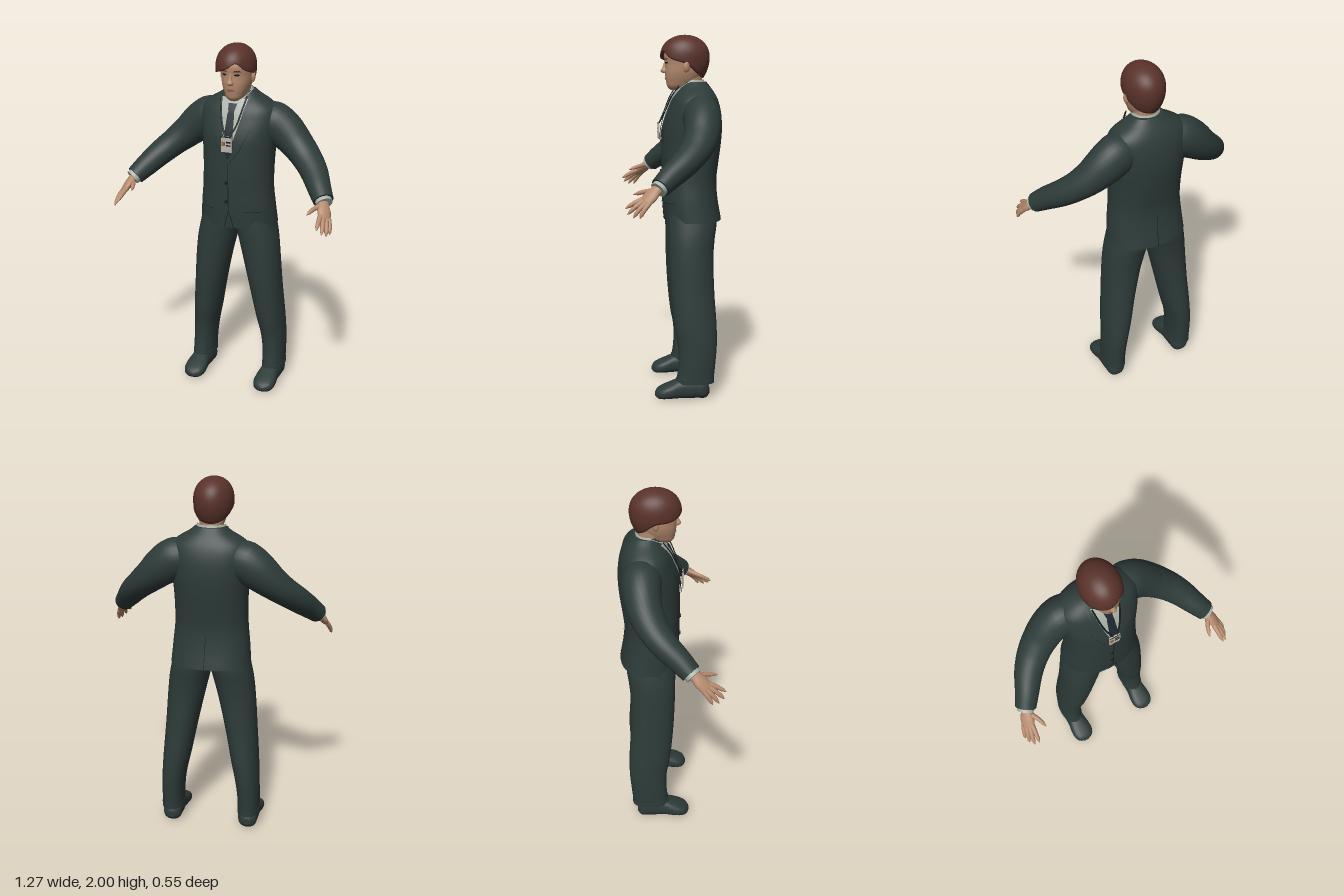
import * as THREE from 'three';

const mat = (name, color) => Object.assign(new THREE.MeshStandardMaterial({ color }), { name });
const V = (x, y, z) => new THREE.Vector3(x, y, z);

// Smooth interpolation of rows keyed on their ascending first column
function profile(rows) {
  const size = rows[0].length - 1;
  const spline = new THREE.CubicInterpolant(rows.map(r => r[0]), rows.flatMap(r => r.slice(1)), size);
  return { from: rows[0][0], to: rows[rows.length - 1][0], at: t => Array.from(spline.evaluate(t)) };
}

// Skin over closed rings, with separate end caps
function loft(rings) {
  const n = rings[0].length, pos = [], idx = [];
  rings.forEach(r => r.forEach(p => pos.push(p.x, p.y, p.z)));
  for (let i = 0; i < rings.length - 1; i++) {
    for (let j = 0; j < n; j++) {
      const k = (j + 1) % n, a = i * n + j, b = i * n + k;
      idx.push(a, a + n, b, b, a + n, b + n);
    }
  }
  [rings[0], rings[rings.length - 1]].forEach((ring, end) => {
    const base = pos.length / 3, c = V(0, 0, 0);
    ring.forEach(p => { pos.push(p.x, p.y, p.z); c.addScaledVector(p, 1 / n); });
    pos.push(c.x, c.y, c.z);
    for (let j = 0; j < n; j++) {
      const a = base + j, b = base + (j + 1) % n;
      idx.push(base + n, end ? b : a, end ? a : b);
    }
  });
  return build(pos, idx);
}

function build(pos, idx) {
  const g = new THREE.BufferGeometry();
  g.setAttribute('position', new THREE.Float32BufferAttribute(pos, 3));
  g.setIndex(idx);
  g.computeVertexNormals();
  return g;
}

// Rounded-box ring: f(cos, sin) places each point
function ring(n, power, f) {
  return Array.from({ length: n }, (_, j) => {
    const a = j / n * Math.PI * 2, c = Math.cos(a), s = Math.sin(a);
    const q = v => Math.sign(v) * Math.abs(v) ** (2 / power);
    return f(q(c), q(s));
  });
}

// Upright body from rows [y, xMin, xMax, zFront, zBack]
function column(p, steps, power = 2.3, n = 40) {
  return loft(Array.from({ length: steps + 1 }, (_, i) => {
    const y = p.from + (p.to - p.from) * i / steps, [x0, x1, zf, zb] = p.at(y);
    return ring(n, power, (c, s) => V((x0 + x1) / 2 + c * (x1 - x0) / 2, y, (zf + zb) / 2 + s * (zf - zb) / 2));
  }));
}

// Tapered limb along a curve, radii [a along ref, b across]
function sweep(pts, radii, ref, steps = 24, n = 20) {
  const curve = new THREE.CatmullRomCurve3(pts.map(p => V(...p)));
  return loft(Array.from({ length: steps + 1 }, (_, i) => {
    const t = i / steps, u = t * (radii.length - 1), k = Math.min(Math.floor(u), radii.length - 2);
    const [a, b] = [0, 1].map(m => THREE.MathUtils.lerp(radii[k][m], radii[k + 1][m], u - k));
    const c = curve.getPoint(t), T = curve.getTangent(t);
    const N = ref.clone().addScaledVector(T, -ref.dot(T)).normalize(), B = N.clone().cross(T);
    return ring(n, 2, (x, y) => c.clone().addScaledVector(N, x * a).addScaledVector(B, y * b));
  }));
}

// Depth of a column's front (side 1) or back (side -1) at x, y
function depth(p, x, y, side = 1, power = 2.3) {
  const [x0, x1, zf, zb] = p.at(y), u = Math.min(1, Math.abs((x - (x0 + x1) / 2) / ((x1 - x0) / 2)));
  return (zf + zb) / 2 + side * (zf - zb) / 2 * (1 - u ** power) ** (1 / power);
}

// Thin panel hugging a column, rows [y, xLeft, xRight] ascending
function patch(p, rows, off, side = 1, cols = 6, sub = 5) {
  const pos = [], idx = [], total = (rows.length - 1) * sub;
  for (let i = 0; i <= total; i++) {
    const k = Math.min(Math.floor(i / sub), rows.length - 2), t = i / sub - k;
    const [y, l, r] = rows[k].map((v, m) => v + (rows[k + 1][m] - v) * t);
    for (let j = 0; j <= cols; j++) {
      const x = l + (r - l) * j / cols;
      pos.push(x, y, depth(p, x, y, side) + off * side);
      if (i < total && j < cols) {
        const a = i * (cols + 1) + j, b = a + cols + 1;
        idx.push(...(side > 0 ? [a, a + 1, b + 1, a, b + 1, b] : [a, b + 1, a + 1, a, b, b + 1]));
      }
    }
  }
  return build(pos, idx);
}

function mirrored(geo) {
  const g = geo.clone().scale(-1, 1, 1), ix = g.index.array;
  for (let i = 0; i < ix.length; i += 3) [ix[i], ix[i + 1]] = [ix[i + 1], ix[i]];
  g.computeVertexNormals();
  return g;
}

export function createModel() {
  const suit = mat('suit cloth', 0x2d3b39), seam = mat('dark trim', 0x151b1c), shirt = mat('shirt', 0xaab3a9);
  const tieMat = mat('tie', 0x1d2930), skin = mat('skin', 0xb58a6d), lip = mat('lips', 0x94654f);
  const hairMat = mat('hair', 0x59322a), card = mat('card', 0xb9b4aa);
  const root = new THREE.Group();
  const add = (name, geo, m) => {
    const mesh = new THREE.Mesh(geo, m);
    mesh.name = name;
    root.add(mesh);
    return mesh;
  };
  const pair = (name, geo, m) => { add(name + 'Left', geo, m); add(name + 'Right', mirrored(geo), m); };

  // Jacket body
  const torso = profile([
    [0.985, 0.222, 0.05, -0.272], [1.1, 0.212, 0.058, -0.252], [1.2, 0.202, 0.06, -0.245],
    [1.3, 0.2, 0.062, -0.255], [1.4, 0.203, 0.06, -0.268], [1.5, 0.213, 0.052, -0.274],
    [1.6, 0.222, 0.022, -0.264], [1.66, 0.205, -0.002, -0.245], [1.695, 0.16, -0.026, -0.225],
    [1.72, 0.115, -0.043, -0.207], [1.745, 0.085, -0.058, -0.188],
  ].map(([y, w, f, b]) => [y, -w, w, f, b]));
  add('jacket', column(torso, 48), suit);
  pair('lapel', patch(torso, [[1.37, 0, 0.006], [1.43, 0.008, 0.055], [1.56, 0.045, 0.115],
    [1.62, 0.06, 0.11], [1.72, 0.08, 0.1]], 0.009), suit);
  pair('lapelEdge', patch(torso, [[1.37, 0.006, 0.009], [1.43, 0.055, 0.058], [1.56, 0.115, 0.118]], 0.006, 1, 1), seam);
  add('frontSeam', patch(torso, [[1.09, -0.003, 0.001], [1.37, -0.003, 0.001]], 0.003, 1, 1), seam);
  pair('frontCutaway', patch(torso, [[0.987, 0.026, 0.03], [1.09, -0.002, 0.002]], 0.003, 1, 1), seam);
  pair('pocketFlap', patch(torso, [[1.09, 0.09, 0.18], [1.125, 0.085, 0.175]], 0.007), suit);
  pair('pocketLine', patch(torso, [[1.086, 0.09, 0.18], [1.09, 0.09, 0.18]], 0.005, 1, 6, 1), seam);
  add('backVent', patch(torso, [[0.987, 0.006, 0.01], [1.17, 0.0, 0.003]], 0.003, -1, 1), seam);
  for (const y of [1.14, 1.25]) {
    const b = add('button', new THREE.CylinderGeometry(0.009, 0.009, 0.006, 14), seam);
    b.rotation.x = Math.PI / 2;
    b.position.set(-0.012, y, depth(torso, 0, y) + 0.003);
  }

  // Shirt front, collar and tie
  add('shirtFront', patch(torso, [[1.4, -0.006, 0.006], [1.56, -0.045, 0.045], [1.71, -0.085, 0.085]], 0.005), shirt);
  add('shirtCollar', loft([[1.63, 0.09, 0.085, 0], [1.7, 0.084, 0.08, 0.02], [1.757, 0.078, 0.074, 0.05], [1.75, 0.066, 0.062, 0.05]]
    .map(([y, rx, rz, dip]) => ring(36, 2, (c, s) => V(c * rx, y - dip * Math.max(0, s), -0.1 + s * rz)))), shirt);
  add('tie', patch(torso, [[1.39, -0.006, 0.006], [1.45, -0.028, 0.028], [1.63, -0.02, 0.02],
    [1.645, -0.017, 0.017], [1.685, -0.026, 0.026]], 0.013), tieMat);

  // Lanyard and card
  pair('lanyard', sweep([[0.074, 1.725, -0.03], [0.062, 1.66, 0.012], [0.042, 1.58, 0.045], [0.012, 1.515, 0.076]],
    [[0.005, 0.003], [0.005, 0.003]], V(1, 0, 0), 16, 8), seam);
  const badge = [[0.062, 0.088, 0.008, 0, 0, card, 'badge'], [0.026, 0.009, 0.002, 0.012, 0.012, seam, 'badgeLine'],
    [0.026, 0.007, 0.002, 0.012, -0.006, seam, 'badgeLine'], [0.018, 0.024, 0.002, -0.017, 0.002, lip, 'badgePhoto'],
    [0.062, 0.006, 0.002, 0, 0.041, seam, 'badgeClip']];
  for (const [w, h, d, x, y, m, name] of badge) {
    add(name, new THREE.BoxGeometry(w, h, d), m).position.set(x - 0.004, 1.476 + y, 0.076 + (d < 0.005 ? 0.0045 : 0));
  }

  // Sleeves and cuffs
  const up = V(0, 1, 0);
  pair('sleeve', sweep([[0.11, 1.575, -0.13], [0.19, 1.565, -0.145], [0.26, 1.52, -0.145], [0.33, 1.46, -0.128],
    [0.4, 1.4, -0.09], [0.46, 1.345, -0.035], [0.515, 1.285, 0.04], [0.557, 1.237, 0.095]],
  [[0.1, 0.095], [0.115, 0.105], [0.107, 0.1], [0.09, 0.093], [0.077, 0.085], [0.071, 0.076], [0.063, 0.064], [0.053, 0.056]],
  up, 40, 28), suit);
  pair('shirtCuff', sweep([[0.545, 1.25, 0.08], [0.568, 1.226, 0.109]], [[0.043, 0.045], [0.043, 0.045]], up, 4), shirt);

  // Hands
  const across = V(-0.045, 0.025, 0.035);
  pair('palm', sweep([[0.548, 1.246, 0.083], [0.565, 1.222, 0.118], [0.578, 1.196, 0.145], [0.59, 1.168, 0.174], [0.594, 1.158, 0.183]],
    [[0.03, 0.026], [0.032, 0.023], [0.04, 0.022], [0.037, 0.017], [0.025, 0.01]], across), skin);
  const fingers = {
    thumb: [[0.56, 1.222, 0.125], [0.53, 1.212, 0.175], [0.51, 1.195, 0.232]],
    indexFinger: [[0.57, 1.183, 0.182], [0.574, 1.162, 0.228], [0.578, 1.135, 0.274]],
    middleFinger: [[0.583, 1.175, 0.178], [0.596, 1.145, 0.224], [0.603, 1.108, 0.264]],
    ringFinger: [[0.597, 1.167, 0.168], [0.612, 1.134, 0.205], [0.62, 1.093, 0.236]],
    littleFinger: [[0.607, 1.163, 0.156], [0.622, 1.13, 0.182], [0.63, 1.092, 0.203]],
  };
  for (const [name, pts] of Object.entries(fingers)) {
    pair(name, sweep(pts, [0.014, 0.0135, 0.0125, 0.0115, 0.01, 0.002].map(r => [r, r]), across, 15, 12), skin);
  }

  // Trouser legs with hem
  const leg = profile([
    [0.095, 0.162, 0.284, -0.008, -0.216], [0.2, 0.158, 0.284, -0.02, -0.226], [0.3, 0.145, 0.281, -0.018, -0.234],
    [0.4, 0.123, 0.276, 0, -0.234], [0.6, 0.083, 0.261, 0.021, -0.222], [0.8, 0.038, 0.247, 0.031, -0.219],
    [0.9, 0.013, 0.236, 0.033, -0.228], [0.97, -0.004, 0.222, 0.034, -0.238], [1.08, -0.02, 0.195, 0.03, -0.225],
  ]);
  pair('trouserLeg', column(leg, 44, 2.2), suit);
  pair('trouserHem', column(profile([[0.09, 0.159, 0.287, -0.005, -0.219], [0.115, 0.159, 0.287, -0.006, -0.22]]), 2, 2.2), suit);

  // Shoes, rows [z, half width, bottom, top]
  const shoe = profile([[-0.192, 0.02, 0.025, 0.06], [-0.18, 0.042, 0.008, 0.095], [-0.12, 0.055, 0.002, 0.115],
    [-0.03, 0.056, 0.002, 0.112], [0.03, 0.064, 0.001, 0.088], [0.075, 0.059, 0.001, 0.068],
    [0.1, 0.04, 0.006, 0.052], [0.111, 0.014, 0.018, 0.036]]);
  pair('shoe', loft(Array.from({ length: 33 }, (_, i) => {
    const z = shoe.from + (shoe.to - shoe.from) * i / 32, [w, b, t] = shoe.at(z);
    return ring(28, 2.5, (c, s) => V(0.222 + c * w, (b + t) / 2 - s * (t - b) / 2, z));
  })), suit);

  // Neck and head
  add('neck', column(profile([[1.62, -0.064, 0.064, -0.03, -0.165], [1.69, -0.062, 0.062, -0.032, -0.162],
    [1.78, -0.064, 0.064, -0.03, -0.165]]), 8, 2), skin);
  const head = profile([[1.7, 0.02, 0.008, -0.03], [1.712, 0.04, 0.024, -0.08], [1.745, 0.06, 0.035, -0.135],
    [1.79, 0.076, 0.041, -0.165], [1.84, 0.083, 0.041, -0.183], [1.9, 0.086, 0.045, -0.188], [1.955, 0.062, 0.01, -0.15]]
    .map(([y, w, f, b]) => [y, 0.004 - w, 0.004 + w, f, b]));
  add('head', column(head, 30), skin);
  add('nose', column(profile([[1.792, -0.01, 0.018, 0.05, 0.02], [1.8, -0.015, 0.023, 0.064, 0.02],
    [1.825, -0.007, 0.015, 0.055, 0.02], [1.862, -0.004, 0.012, 0.043, 0.02]]), 12, 2, 16), skin);
  for (const s of [-1, 1]) {
    const ear = add('ear', new THREE.SphereGeometry(1, 16, 12), skin);
    ear.scale.set(0.012, 0.033, 0.02);
    ear.position.set(0.004 + s * 0.088, 1.83, -0.072);
    ear.rotation.set(-0.15, s * 0.3, 0);
    const [a, b] = s > 0 ? [0.024, 0.056] : [-0.048, -0.016], m = (a + b) / 2;
    add('eye', patch(head, [[1.844, m - 0.006, m + 0.006], [1.849, a, b], [1.854, m - 0.008, m + 0.008]], 0.003), seam);
    add('eyebrow', patch(head, [[1.866, a - 0.003, b + 0.004], [1.873, a + 0.004, b]], 0.004), hairMat);
  }
  add('mouth', patch(head, [[1.757, -0.01, 0.018], [1.765, -0.022, 0.03], [1.772, -0.008, 0.016]], 0.003), lip);

  // Hair: domed cap whose lower edge follows a side-swept fringe and nape
  const edge = profile([[0, 1.845], [40, 1.875], [65, 1.912], [90, 1.885], [120, 1.864], [150, 1.85], [180, 1.843],
    [215, 1.79], [270, 1.765], [325, 1.79], [360, 1.845]]);
  const hairPoint = (a, phi, inset) => {
    const y = 2 - (2 - edge.at(a * 180 / Math.PI)[0]) * (1 - Math.cos(phi)), d = (y - 1.875) / 0.125;
    const f = inset * (d > 0 ? Math.sqrt(Math.max(0, 1 - Math.abs(d) ** 2.3)) : 1 - 0.33 * d * d);
    return V(-0.006 + Math.cos(a) * 0.108 * f, y, -0.069 + Math.sin(a) * 0.137 * f);
  };
  const rows = Array.from({ length: 21 }, (_, i) => [Math.PI / 2 * (1 - i / 20) + 0.001, 1]);
  add('hair', loft([[Math.PI / 2, 0.75], ...rows].map(([phi, inset]) =>
    Array.from({ length: 48 }, (_, j) => hairPoint(j / 48 * Math.PI * 2, phi, inset)))), hairMat);

  return root;
}
